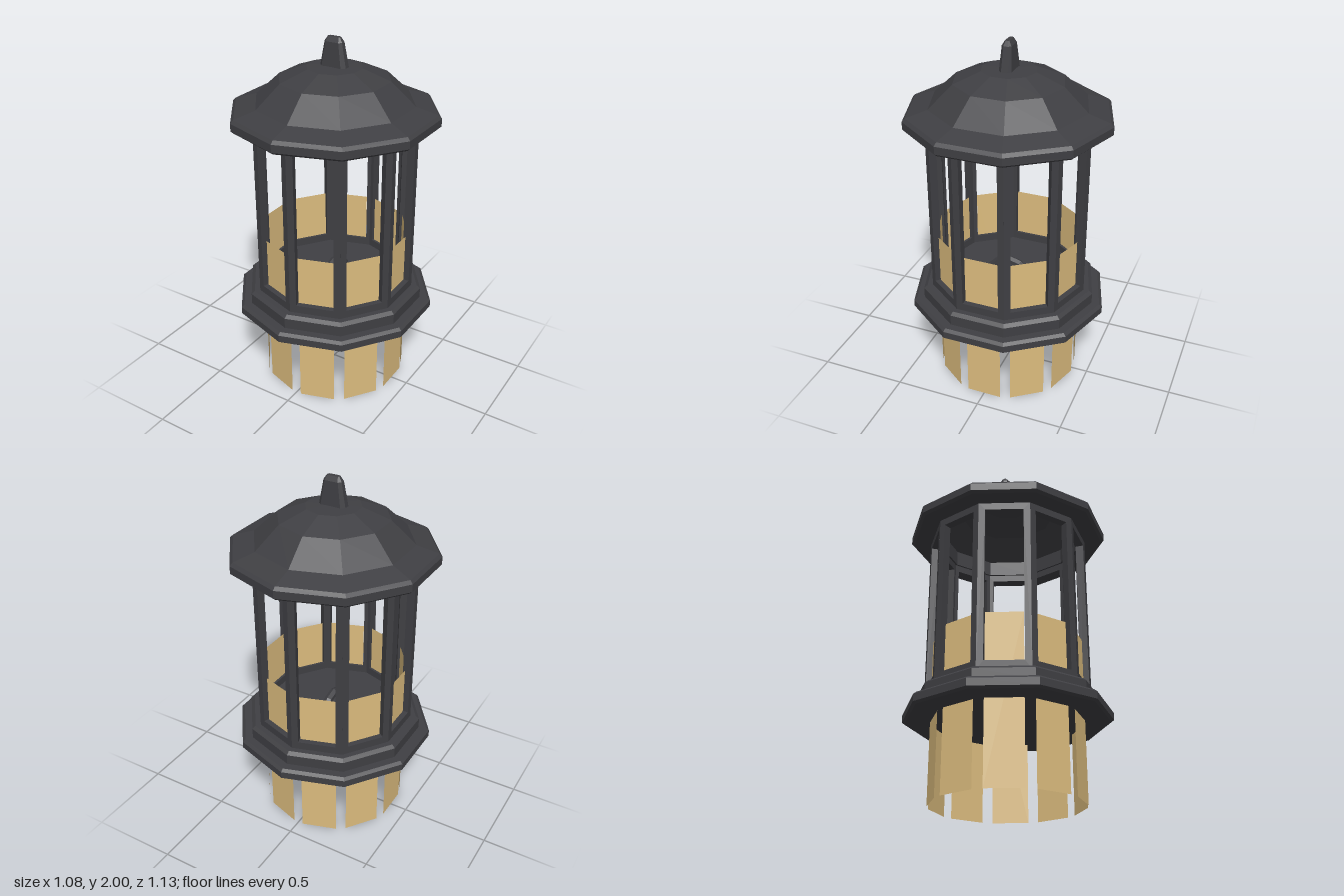
import * as THREE from 'three';

const SIDES = 10;

export function createModel() {
  const model = new THREE.Group();
  model.name = 'lantern';

  const iron = new THREE.MeshStandardMaterial({ color: 0x3f3f43, flatShading: true });
  iron.name = 'dark iron';
  const amber = new THREE.MeshStandardMaterial({ color: 0xdcbc7e, side: THREE.DoubleSide });
  amber.name = 'amber glass';

  const add = (name, geometry, material, parent = model) => {
    const mesh = new THREE.Mesh(geometry, material);
    mesh.name = name;
    parent.add(mesh);
    return mesh;
  };
  // Ten-sided turned part from [radius, height] pairs
  const turned = (name, profile) => add(name,
    new THREE.LatheGeometry(profile.map(([r, y]) => new THREE.Vector2(r, y)), SIDES), iron);

  // Stepped base with chamfered tiers
  turned('base', [
    [0, 0.447], [0.553, 0.447], [0.567, 0.458], [0.567, 0.498], [0.55, 0.512],
    [0.505, 0.512], [0.505, 0.572], [0.485, 0.588], [0, 0.588],
  ]);

  // Hollow domed roof: inner dome, eave, outer dome
  turned('roof', [
    [0, 1.825], [0.14, 1.82], [0.28, 1.76], [0.395, 1.645], [0.395, 1.555],
    [0.552, 1.555], [0.567, 1.568], [0.567, 1.61], [0.55, 1.627],
    [0.432, 1.662], [0.3, 1.785], [0.15, 1.843], [0, 1.85],
  ]);

  // Window frames and glass panes, one per side
  const halfW = 0.14, openW = 0.104;
  const shape = new THREE.Shape([
    new THREE.Vector2(-halfW, 0.58), new THREE.Vector2(halfW, 0.58),
    new THREE.Vector2(halfW, 1.56), new THREE.Vector2(-halfW, 1.56),
  ]);
  shape.holes.push(new THREE.Path([
    new THREE.Vector2(-openW, 0.632), new THREE.Vector2(-openW, 1.515),
    new THREE.Vector2(openW, 1.515), new THREE.Vector2(openW, 0.632),
  ]));
  const frameGeometry = new THREE.ExtrudeGeometry(shape, { depth: 0.045, bevelEnabled: false });
  const paneGeometry = new THREE.PlaneGeometry(0.2, 0.912);
  for (let i = 0; i < SIDES; i++) {
    const side = new THREE.Group();
    side.name = 'windowSide';
    side.rotation.y = ((i + 0.5) / SIDES) * Math.PI * 2;
    add('windowFrame', frameGeometry, iron, side).position.z = 0.386;
    add('glassPane', paneGeometry, amber, side).position.set(0, 0.456, 0.4);
    model.add(side);
  }

  // Ring standing through the base floor
  const ring = add('innerRing', new THREE.TorusGeometry(0.12, 0.024, 6, 12), iron);
  ring.position.y = 0.565;
  ring.rotation.y = Math.PI / 2;

  // Tapered finial, lofted from cut-corner sections [y, halfX, halfZ, cut]
  const sections = [
    [1.83, 0.08, 0.036, 0.02], [1.975, 0.052, 0.026, 0.014], [2, 0.036, 0.012, 0.006],
  ];
  const vertices = [], faces = [];
  for (const [y, x, z, c] of sections) {
    for (const [px, pz] of [[x - c, z], [x, z - c], [x, c - z], [x - c, -z],
      [c - x, -z], [-x, c - z], [-x, z - c], [c - x, z]]) vertices.push(px, y, pz);
  }
  for (let s = 0; s < sections.length - 1; s++) {
    for (let i = 0; i < 8; i++) {
      const a = s * 8 + i, b = s * 8 + (i + 1) % 8;
      faces.push(a, b, b + 8, a, b + 8, a + 8);
    }
  }
  const top = (sections.length - 1) * 8;
  for (let i = 1; i < 7; i++) faces.push(top, top + i, top + i + 1);
  const finial = new THREE.BufferGeometry();
  finial.setAttribute('position', new THREE.Float32BufferAttribute(vertices, 3));
  finial.setIndex(faces);
  finial.computeVertexNormals();
  add('finial', finial, iron);

  return model;
}
